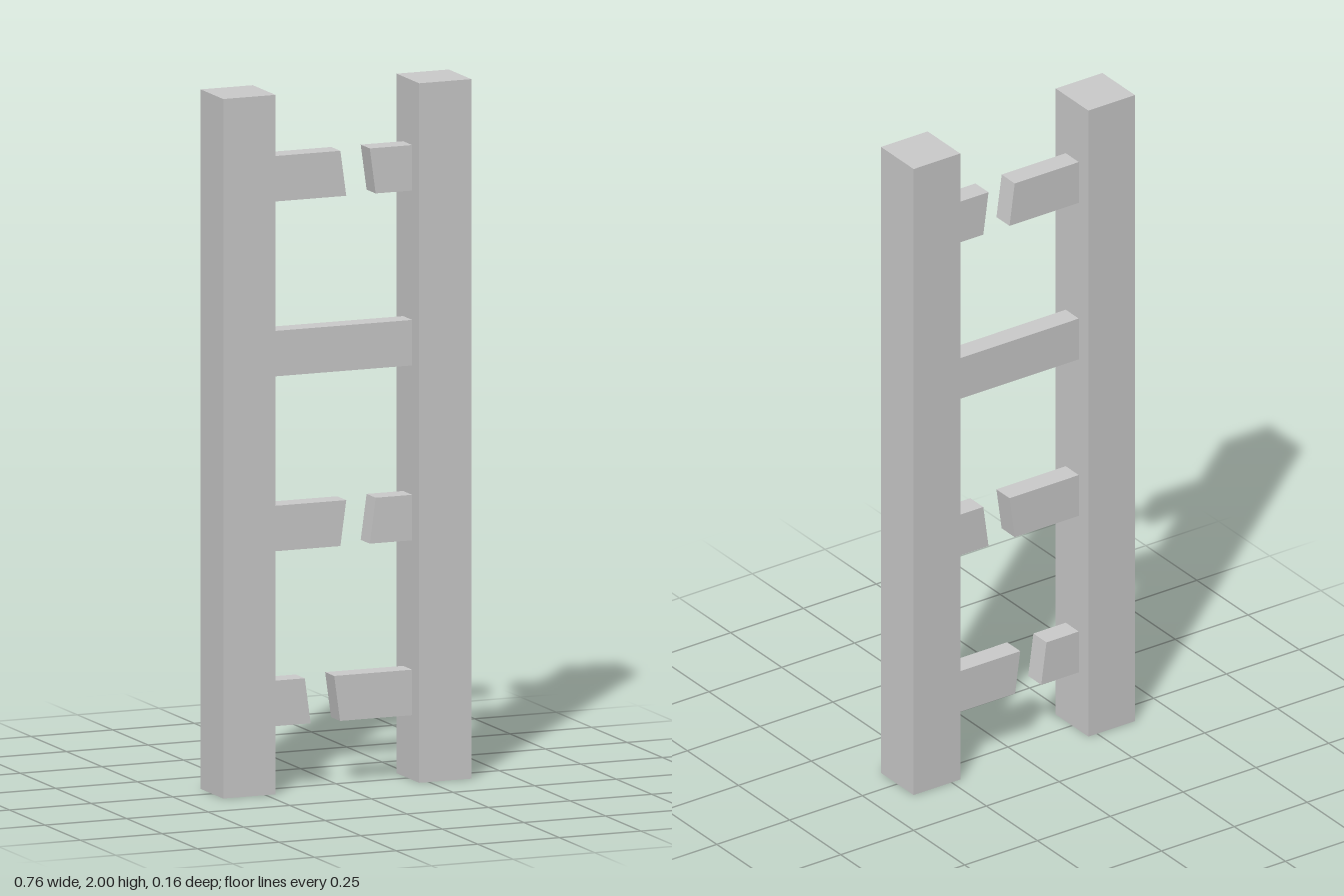
import * as THREE from 'three';

const material = new THREE.MeshStandardMaterial({ color: 0xcccccc, flatShading: true });
const INNER = 0.22, POST = 0.16, RUNG_H = 0.13, RUNG_D = 0.064;

// A bar seen from the front as a trapezoid: x extents at its bottom and top edges.
function rungPiece(name, y, [bottomL, bottomR], [topL, topR]) {
  const h = RUNG_H / 2;
  const shape = new THREE.Shape([
    new THREE.Vector2(bottomL, -h), new THREE.Vector2(bottomR, -h),
    new THREE.Vector2(topR, h), new THREE.Vector2(topL, h),
  ]);
  const geometry = new THREE.ExtrudeGeometry(shape, { depth: RUNG_D, bevelEnabled: false });
  geometry.translate(0, y, -RUNG_D / 2 - 0.001);
  const mesh = new THREE.Mesh(geometry, material);
  mesh.name = name;
  return mesh;
}

export function createModel() {
  const model = new THREE.Group();
  model.name = 'brokenLadder';

  // Two square uprights
  for (const side of [-1, 1]) {
    const post = new THREE.Mesh(new THREE.BoxGeometry(POST, 2, POST), material);
    post.name = side > 0 ? 'leftPost' : 'rightPost';
    post.position.set(side * (INNER + POST / 2), 1, 0);
    model.add(post);
  }

  // Snapped rungs: the break is a slanted gap, given by its middle x and lean
  const GAP = 0.09;
  const broken = [
    { y: 0.25, x: -0.055, lean: -0.009 },
    { y: 0.75, x: 0.054, lean: 0.009 },
    { y: 1.75, x: 0.054, lean: -0.009 },
  ];
  broken.forEach(({ y, x, lean }, i) => {
    const a = x - GAP / 2, b = x + GAP / 2;
    model.add(
      rungPiece(`brokenRungRight${i + 1}`, y, [-INNER, a - lean], [-INNER, a + lean]),
      rungPiece(`brokenRungLeft${i + 1}`, y, [b - lean, INNER], [b + lean, INNER]),
    );
  });

  // The one whole rung
  model.add(rungPiece('wholeRung', 1.25, [-INNER, INNER], [-INNER, INNER]));
  return model;
}
